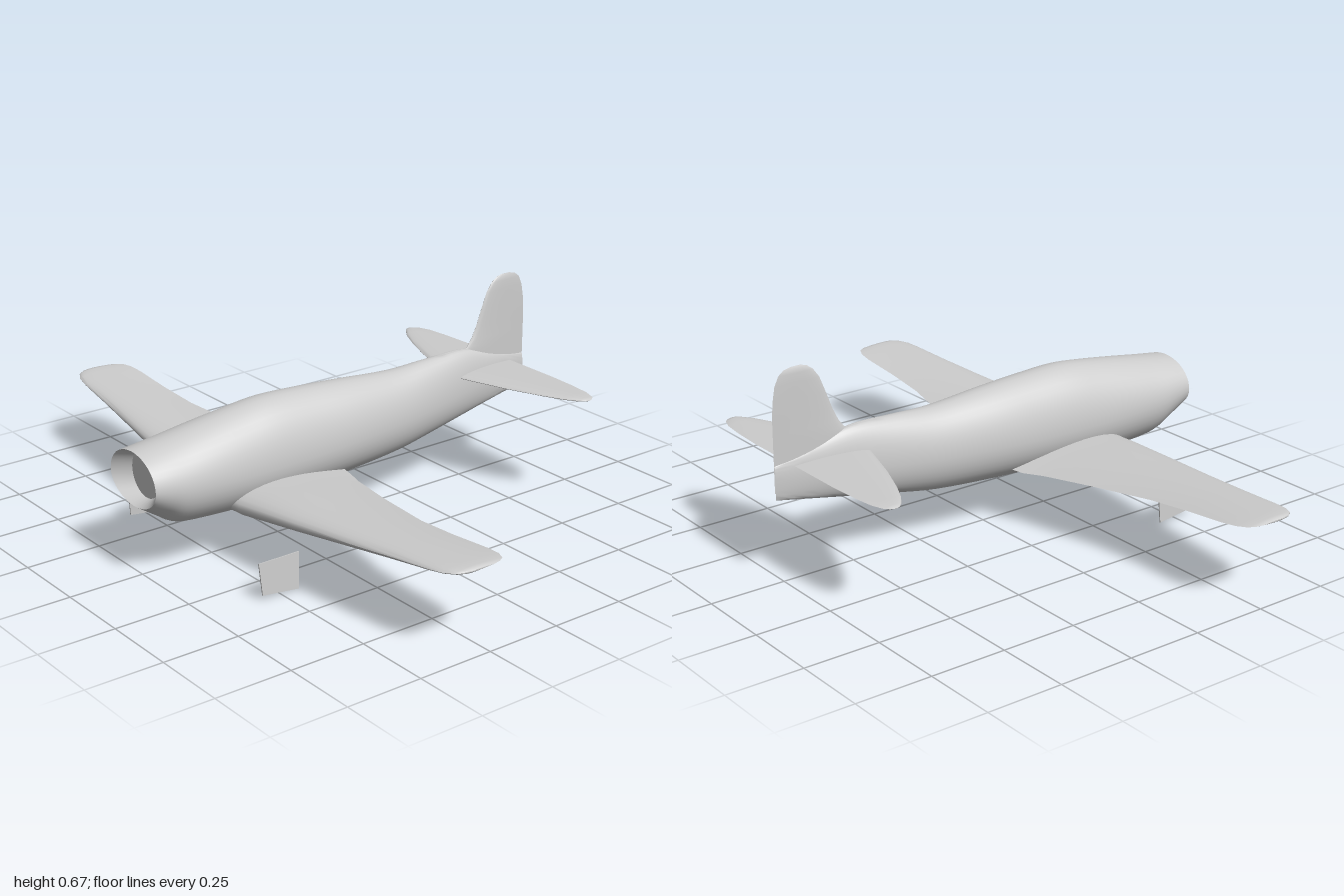
import * as THREE from 'three';
import { toCreasedNormals } from 'three/addons/utils/BufferGeometryUtils.js';

// Skin a list of rings; rings turn counter-clockwise seen against the loft direction
function loft(rings, capped = true, crease = 0.7) {
  const n = rings[0].length;
  const pos = rings.flat(2);
  const index = [];
  for (let i = 0; i < rings.length - 1; i++) {
    for (let j = 0; j < n; j++) {
      const a = i * n + j, b = i * n + (j + 1) % n, c = a + n, d = b + n;
      index.push(a, c, b, b, c, d);
    }
  }
  if (capped) {
    for (const [r, flip] of [[0, false], [rings.length - 1, true]]) {
      const mid = [0, 1, 2].map(k => rings[r].reduce((s, p) => s + p[k], 0) / n);
      const m = pos.length / 3;
      pos.push(...mid);
      for (let j = 0; j < n; j++) {
        const a = r * n + j, b = r * n + (j + 1) % n;
        if (flip) index.push(m, b, a); else index.push(m, a, b);
      }
    }
  }
  const g = new THREE.BufferGeometry();
  g.setAttribute('position', new THREE.Float32BufferAttribute(pos, 3));
  g.setIndex(index);
  return toCreasedNormals(g, crease);
}

// Smoothly resample rows of numbers
function smooth(rows, steps) {
  const curve = k => new THREE.CatmullRomCurve3(
    rows.map(r => new THREE.Vector3(r[0], r[k], r[k + 1])), false, 'catmullrom', 0.5);
  const a = curve(1), b = curve(3), out = [];
  for (let i = 0; i <= steps; i++) {
    const p = a.getPoint(i / steps), q = b.getPoint(i / steps);
    out.push([p.x, p.y, p.z, q.y, q.z]);
  }
  return out;
}

// Egg-shaped body section: station, top, bottom, half width, height of widest point
function bodyRing([z, top, bottom, w, yc], n = 40) {
  return Array.from({ length: n }, (_, j) => {
    const t = j / n * Math.PI * 2, s = Math.sin(t);
    return [w * Math.cos(t), yc + s * (s > 0 ? top - yc : yc - bottom), z];
  });
}

// Airfoil section as [along chord, across chord] pairs
function airfoil(front, back, half, n = 32) {
  return Array.from({ length: n }, (_, j) => {
    const t = j / n * Math.PI * 2, s = (1 - Math.cos(t)) / 2;
    return [
      front + (back - front) * s,
      Math.sign(Math.sin(t)) * half * 2.6 * Math.sqrt(s) * (1 - s),
    ];
  });
}

// Full-span surface from half-span rows: x, leading z, trailing z, y, half thickness
function spanSurface(rows) {
  const mirrored = rows.slice().reverse().map(r => [-r[0], ...r.slice(1)]);
  return loft([...mirrored, ...rows].map(([x, le, te, y, h]) =>
    airfoil(le, te, h).map(([z, d]) => [x, y + d, z])));
}

export function createModel() {
  const model = new THREE.Group();
  model.name = 'aircraft';
  const paint = new THREE.MeshStandardMaterial({ color: 0xcccccc });
  paint.name = 'light grey';
  const add = (name, geometry) => {
    const mesh = new THREE.Mesh(geometry, paint);
    mesh.name = name;
    model.add(mesh);
    return mesh;
  };

  // Fuselage
  const body = smooth([
    [0.77, 0.403, 0.23, 0.124, 0.31],
    [0.71, 0.412, 0.19, 0.13, 0.3],
    [0.65, 0.421, 0.155, 0.134, 0.29],
    [0.55, 0.437, 0.144, 0.135, 0.285],
    [0.42, 0.456, 0.138, 0.132, 0.28],
    [0.3, 0.468, 0.138, 0.128, 0.28],
    [0.15, 0.463, 0.143, 0.121, 0.28],
    [0, 0.453, 0.149, 0.113, 0.285],
    [-0.2, 0.438, 0.164, 0.091, 0.29],
    [-0.35, 0.443, 0.188, 0.069, 0.3],
    [-0.5, 0.445, 0.216, 0.045, 0.315],
    [-0.62, 0.415, 0.239, 0.025, 0.325],
    [-0.768, 0.375, 0.268, 0.006, 0.33],
  ], 60).map(r => bodyRing(r));
  const nose = body[0];
  const shell = loft([...body].concat(), false);
  add('fuselage', shell);

  // Cowl intake lining and engine face
  const inner = bodyRing([0.725, 0.395, 0.245, 0.075, 0.32]);
  add('cowlIntake', loft([inner, nose], false));
  add('engineFace', new THREE.CircleGeometry(0.075, 40)).position.set(0, 0.32, 0.725);

  // Main wing with rounded tips and flared trailing roots
  add('wing', spanSurface([
    [0.06, 0.493, 0.045, 0.19, 0.052],
    [0.13, 0.487, 0.06, 0.19, 0.052],
    [0.2, 0.48, 0.085, 0.197, 0.048],
    [0.37, 0.46, 0.125, 0.211, 0.039],
    [0.6, 0.43, 0.168, 0.231, 0.027],
    [0.75, 0.412, 0.177, 0.245, 0.02],
    [0.9, 0.397, 0.178, 0.259, 0.013],
    [0.95, 0.388, 0.184, 0.264, 0.01],
    [0.982, 0.37, 0.199, 0.267, 0.008],
    [0.995, 0.35, 0.22, 0.268, 0.006],
    [1, 0.325, 0.245, 0.268, 0.002],
  ]));

  // Tailplane
  add('tailplane', spanSurface([
    [0.01, -0.445, -0.705, 0.366, 0.009],
    [0.05, -0.459, -0.705, 0.366, 0.009],
    [0.21, -0.512, -0.705, 0.366, 0.008],
    [0.32, -0.556, -0.7, 0.366, 0.007],
    [0.39, -0.59, -0.692, 0.366, 0.006],
    [0.43, -0.618, -0.678, 0.366, 0.005],
    [0.443, -0.632, -0.665, 0.366, 0.003],
    [0.448, -0.643, -0.652, 0.366, 0.001],
  ]));

  // Fin and rudder: y, leading z, trailing z, half thickness
  add('fin', loft([
    [0.29, -0.56, -0.769, 0.011],
    [0.42, -0.5, -0.769, 0.011],
    [0.447, -0.522, -0.769, 0.011],
    [0.47, -0.54, -0.769, 0.01],
    [0.51, -0.56, -0.769, 0.009],
    [0.57, -0.583, -0.766, 0.008],
    [0.62, -0.603, -0.757, 0.007],
    [0.65, -0.625, -0.743, 0.006],
    [0.664, -0.645, -0.725, 0.004],
    [0.67, -0.665, -0.7, 0.001],
  ].map(([y, le, te, h]) => airfoil(le, te, h).map(([z, d]) => [-d, y, z]))));

  // Undercarriage doors, hanging below each wing
  const outline = new THREE.Shape([[0.575, 0.118], [0.43, 0.118], [0.437, 0.001], [0.566, 0.016]]
    .map(p => new THREE.Vector2(...p)));
  for (const side of [-1, 1]) {
    const door = new THREE.ExtrudeGeometry(outline, { depth: 0.004, bevelEnabled: false });
    door.translate(0, 0, -0.002).rotateY(-Math.PI / 2);
    const mesh = add(side > 0 ? 'leftGearDoor' : 'rightGearDoor', door);
    mesh.position.x = side * 0.361;
    mesh.rotation.z = side * 0.05;
  }
  return model;
}
